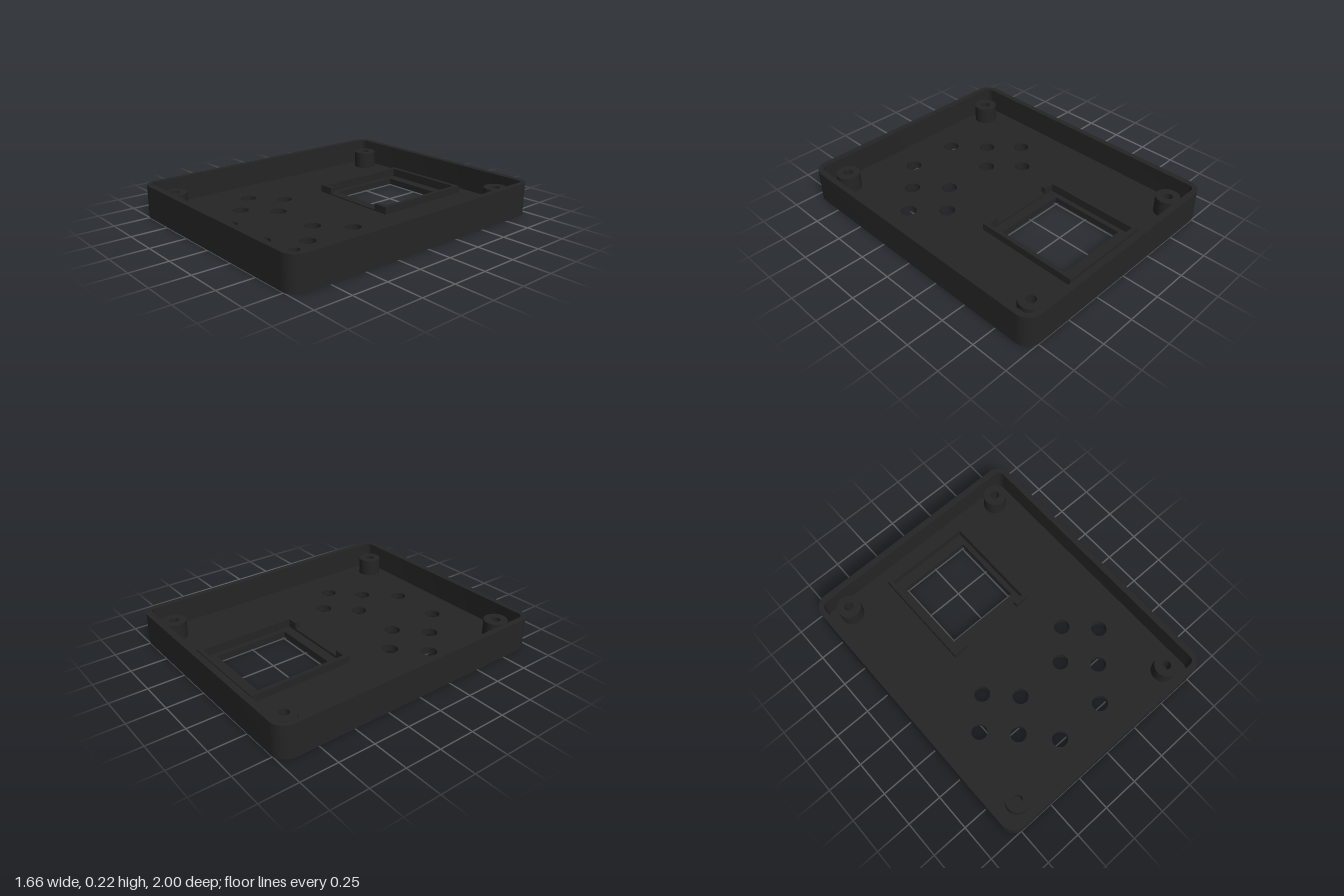
import * as THREE from 'three';
import { toCreasedNormals } from 'three/addons/utils/BufferGeometryUtils.js';

const FLOOR = 0.05, LEDGE = 0.042, RIM = 0.222;

// Rounded rectangle in plan; drawn with shape y = -z
function roundedRect(PathType, w, d, r) {
  const p = new PathType();
  p.moveTo(w - r, -d);
  p.absarc(w - r, -d + r, r, -Math.PI / 2, 0);
  p.absarc(w - r, d - r, r, 0, Math.PI / 2);
  p.absarc(-w + r, d - r, r, Math.PI / 2, Math.PI);
  p.absarc(-w + r, -d + r, r, Math.PI, Math.PI * 1.5);
  p.closePath();
  return p;
}

// Polygon from [x, z] pairs
function polygon(PathType, points) {
  const p = new PathType();
  p.setFromPoints(points.map(([x, z]) => new THREE.Vector2(x, -z)));
  p.closePath();
  return p;
}

const rect = (PathType, x0, x1, z0, z1) =>
  polygon(PathType, [[x0, z1], [x1, z1], [x1, z0], [x0, z0]]);

function circle(PathType, x, z, r) {
  const p = new PathType();
  p.absarc(x, -z, r, 0, Math.PI * 2);
  return p;
}

export function createModel() {
  const group = new THREE.Group();
  const black = new THREE.MeshStandardMaterial({ color: 0x252525 });
  black.name = 'matteBlack';

  // Upright slab of a plan shape between two heights
  function slab(name, shape, holes, y0, y1) {
    shape.holes.push(...holes);
    let geo = new THREE.ExtrudeGeometry(shape, { depth: y1 - y0, bevelEnabled: false, curveSegments: 16 });
    geo.rotateX(-Math.PI / 2);
    geo.translate(0, y0, 0);
    geo = toCreasedNormals(geo, 0.6);
    const mesh = new THREE.Mesh(geo, black);
    mesh.name = name;
    group.add(mesh);
  }

  // Button holes: two diamonds and a lower pair
  const buttonHoles = () => {
    const holes = [];
    for (const s of [-1, 1]) {
      for (const [x, z] of [[0.54, 0.356], [0.36, 0.176], [0.18, 0.356], [0.36, 0.536], [0.18, 0.738]]) {
        holes.push(circle(THREE.Path, s * x, z, 0.053));
      }
    }
    return holes;
  };

  // Floor, with a shallow ledge around the window
  slab('floor', roundedRect(THREE.Shape, 0.83, 1, 0.1),
    [rect(THREE.Path, -0.265, 0.265, -0.76, -0.233), ...buttonHoles()], 0, LEDGE);
  slab('floorTop', roundedRect(THREE.Shape, 0.79, 0.957, 0.04),
    [rect(THREE.Path, -0.3, 0.3, -0.833, -0.167), ...buttonHoles()], LEDGE, FLOOR);

  // Outer wall
  slab('outerWall', roundedRect(THREE.Shape, 0.83, 1, 0.1),
    [roundedRect(THREE.Path, 0.79, 0.957, 0.04)], LEDGE, RIM);

  // Window frame, open at the front between two short returns
  slab('windowFrame', polygon(THREE.Shape, [
    [-0.33, -0.135], [-0.225, -0.135], [-0.225, -0.167], [-0.3, -0.167],
    [-0.3, -0.833], [0.3, -0.833], [0.3, -0.167], [0.225, -0.167],
    [0.225, -0.135], [0.33, -0.135], [0.33, -0.865], [-0.33, -0.865],
  ]), [], FLOOR, 0.1);
  slab('frameSill', rect(THREE.Shape, -0.225, 0.225, -0.167, -0.135), [], FLOOR, 0.058);

  // Screw posts in the corners
  for (const x of [-0.653, 0.653]) {
    for (const z of [-0.853, 0.853]) {
      slab('screwPost', circle(THREE.Shape, x, z, 0.08), [circle(THREE.Path, x, z, 0.031)], FLOOR, 0.17);
    }
  }
  return group;
}
